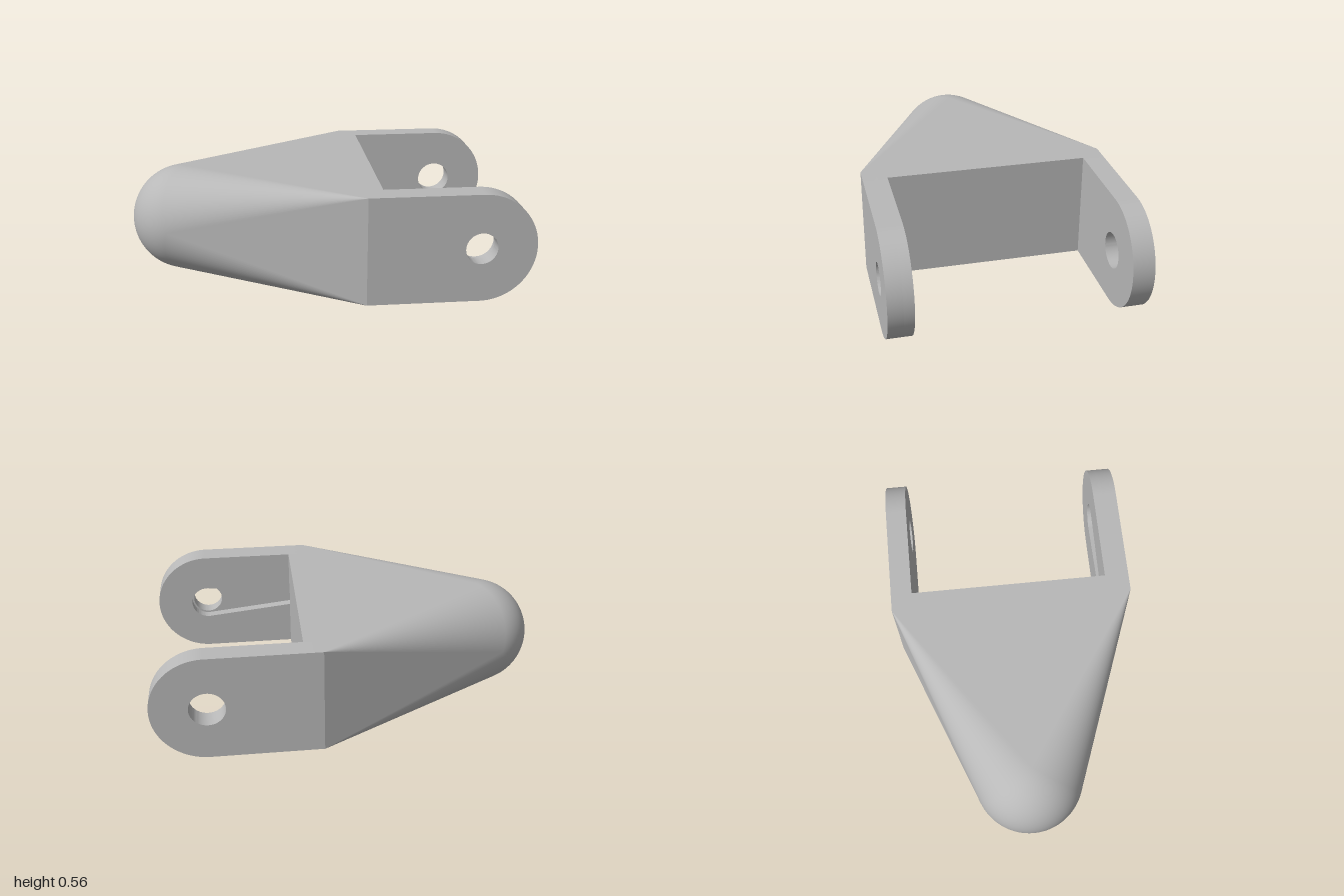
import * as THREE from 'three';
import { toCreasedNormals } from 'three/addons/utils/BufferGeometryUtils.js';

const R = 0.2775, H = 2 * R;          // nose and fork-tip radius, full height
const NOSE_X = -0.7225, PIN_X = 0.7225; // centres of the nose ball and pin holes
const X0 = 0.16, X1 = 0.25, W = 0.623;  // crossbar start, crossbar face, half width

const steel = new THREE.MeshStandardMaterial({ color: 0xb8b8b8 });
steel.name = 'satinGrey';

function addMesh(group, name, geometry) {
  const mesh = new THREE.Mesh(geometry, steel);
  mesh.name = name;
  group.add(mesh);
  return mesh;
}

function polygon(points) {
  return new THREE.Shape(points.map(([x, y]) => new THREE.Vector2(x, y)));
}

function extrude(shape, depth) {
  const g = new THREE.ExtrudeGeometry(shape, { depth, bevelEnabled: false, curveSegments: 32 });
  return toCreasedNormals(g, 0.5);
}

// Slab of an x-y outline between two z positions
function slab(shape, z0, z1) {
  return extrude(shape, z1 - z0).translate(0, 0, z0);
}

function circleHole(x, y, r) {
  const p = new THREE.Path();
  p.absarc(x, y, r, 0, Math.PI * 2, false);
  return p;
}

// Tapered slot: outline around a large circle and a small one
function taperedSlot(ax, ay, ra, bx, by, rb) {
  const a = Math.atan2(by - ay, bx - ax);
  const d = Math.acos((ra - rb) / Math.hypot(bx - ax, by - ay));
  const p = new THREE.Path();
  p.absarc(ax, ay, ra, a + d, a - d + Math.PI * 2, false);
  p.absarc(bx, by, rb, a - d, a + d, false);
  p.closePath();
  return p;
}

// Fork arm outline with a round tip
function armShape(hole) {
  const s = new THREE.Shape();
  s.moveTo(X0, 0);
  s.lineTo(PIN_X, 0);
  s.absarc(PIN_X, R, R, -Math.PI / 2, Math.PI / 2, false);
  s.lineTo(X0, H);
  s.closePath();
  s.holes.push(hole);
  return s;
}

// Skin wrapping the nose ball and the crossbar's four corners:
// each row is one latitude of the ball, tied at both ends to a corner
function noseSkin() {
  const dx = X0 - NOSE_X, dist = Math.hypot(dx, W), phi = Math.atan2(W, dx);
  const rows = 24, cols = 48;
  const pos = [], nor = [], idx = [];

  const addRow = (lat, cornerY) => {
    const s = Math.sin(Math.abs(lat)), c = Math.max(Math.cos(lat), 1e-5);
    const start = phi + Math.acos((R * (1 - s)) / (dist * c));
    for (let j = -1; j <= cols + 1; j++) {
      const t = THREE.MathUtils.clamp(j / cols, 0, 1);
      const a = start + (2 * Math.PI - 2 * start) * t;
      const n = [c * Math.cos(a), Math.sin(lat), c * Math.sin(a)];
      nor.push(...n);
      if (j < 0) pos.push(X0, cornerY, W);
      else if (j > cols) pos.push(X0, cornerY, -W);
      else pos.push(NOSE_X + R * n[0], R + R * n[1], R * n[2]);
    }
  };
  for (let i = 0; i <= rows; i++) addRow((Math.PI / 2) * (1 - i / rows), H);
  for (let i = 0; i <= rows; i++) addRow((-Math.PI / 2) * (i / rows), 0);

  const n = cols + 3;
  for (let i = 0; i < 2 * rows + 1; i++) {
    for (let j = 0; j < n - 1; j++) {
      const a = i * n + j, b = a + 1, c = a + n, d = c + 1;
      idx.push(a, b, c, b, d, c);
    }
  }
  const g = new THREE.BufferGeometry();
  g.setAttribute('position', new THREE.Float32BufferAttribute(pos, 3));
  g.setAttribute('normal', new THREE.Float32BufferAttribute(nor, 3));
  g.setIndex(idx);
  return g;
}

export function createModel() {
  const model = new THREE.Group();
  model.name = 'forkedBracket';

  // Tapered body: rounded skin plus flat core with the slanted through slot
  addMesh(model, 'noseSkin', noseSkin());
  const core = polygon([[NOSE_X, 0], [X0, -W], [X0, W]]);
  core.holes.push(taperedSlot(0.003, 0.338, 0.138, -0.225, 0.112, 0.083));
  addMesh(model, 'bodyCore', extrude(core, H).rotateX(-Math.PI / 2));

  // Crossbar, with a small notch where the groove runs into it
  const zBack = -0.515, zFront = 0.5, zNotch = 0.475, zFloor = 0.55, rEnd = 0.04;
  const bar = polygon([[X0, 0], [X1, 0], [X1, H], [X0, H]]);
  addMesh(model, 'crossbar', slab(bar, zBack, zNotch));
  const notched = new THREE.Shape();
  notched.moveTo(X0, 0);
  notched.lineTo(X1, 0);
  notched.lineTo(X1, R - rEnd);
  notched.absarc(X1, R, rEnd, -Math.PI / 2, Math.PI / 2, true);
  notched.lineTo(X1, H);
  notched.lineTo(X0, H);
  notched.closePath();
  addMesh(model, 'notchedCrossbarEnd', slab(notched, zNotch, zFront));

  // Fork arms: plain at the back, grooved on the inside at the front
  addMesh(model, 'backArm', slab(armShape(circleHole(PIN_X, R, 0.09)), -W, zBack));
  const groove = taperedSlot(PIN_X, R, 0.09, X1, R, rEnd);
  addMesh(model, 'frontArmGroove', slab(armShape(groove), zFront, zFloor));
  addMesh(model, 'frontArm', slab(armShape(circleHole(PIN_X, R, 0.08)), zFloor, W));

  return model;
}
